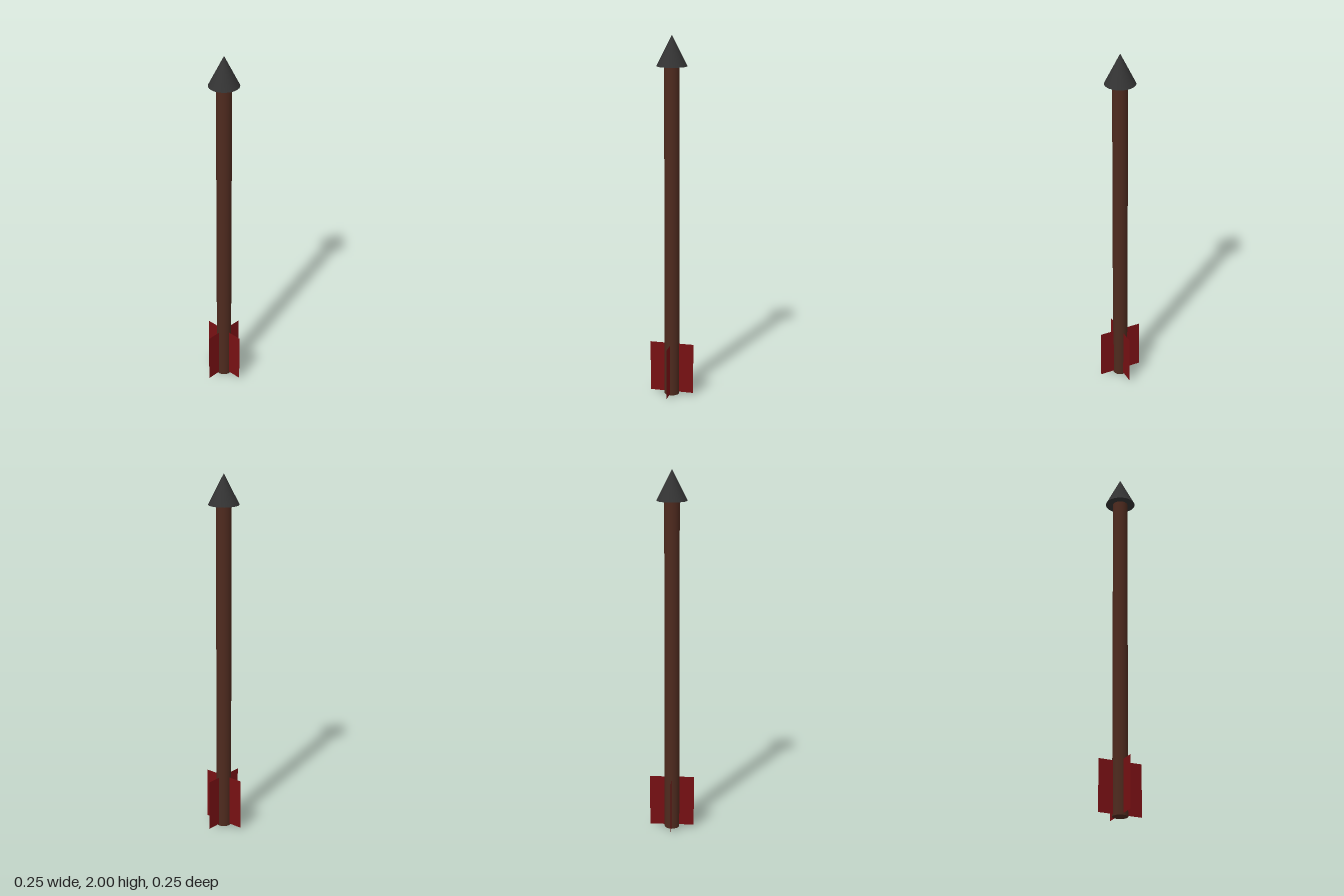
import * as THREE from 'three';

const SHAFT_HEIGHT = 1.837;
const SHAFT_RADIUS = 0.041;
const HEAD_HEIGHT = 0.163;
const HEAD_RADIUS = 0.082;
const FIN_WIDTH = 0.245;
const FIN_HEIGHT = 0.286;
const FIN_CENTER = 0.153;

export function createModel() {
  const arrow = new THREE.Group();
  arrow.name = 'arrow';

  const wood = new THREE.MeshStandardMaterial({ color: 0x4e2a1e });
  const iron = new THREE.MeshStandardMaterial({ color: 0x333333 });
  const feather = new THREE.MeshStandardMaterial({ color: 0x771013, side: THREE.DoubleSide });

  const add = (name, geometry, material, y) => {
    const mesh = new THREE.Mesh(geometry, material);
    mesh.name = name;
    mesh.position.y = y;
    arrow.add(mesh);
    return mesh;
  };

  // Round wooden shaft standing on its end
  add('shaft', new THREE.CylinderGeometry(SHAFT_RADIUS, SHAFT_RADIUS, SHAFT_HEIGHT, 32), wood, SHAFT_HEIGHT / 2);

  // Conical head, closed underneath
  add('head', new THREE.ConeGeometry(HEAD_RADIUS, HEAD_HEIGHT, 32), iron, SHAFT_HEIGHT + HEAD_HEIGHT / 2);

  // Two paper-thin sheets crossing in the shaft make the four fins
  const finGeometry = new THREE.PlaneGeometry(FIN_WIDTH, FIN_HEIGHT);
  ['finsAcross', 'finsFrontToBack'].forEach((name, i) => {
    add(name, finGeometry, feather, FIN_CENTER).rotation.y = i * Math.PI / 2;
  });

  return arrow;
}
